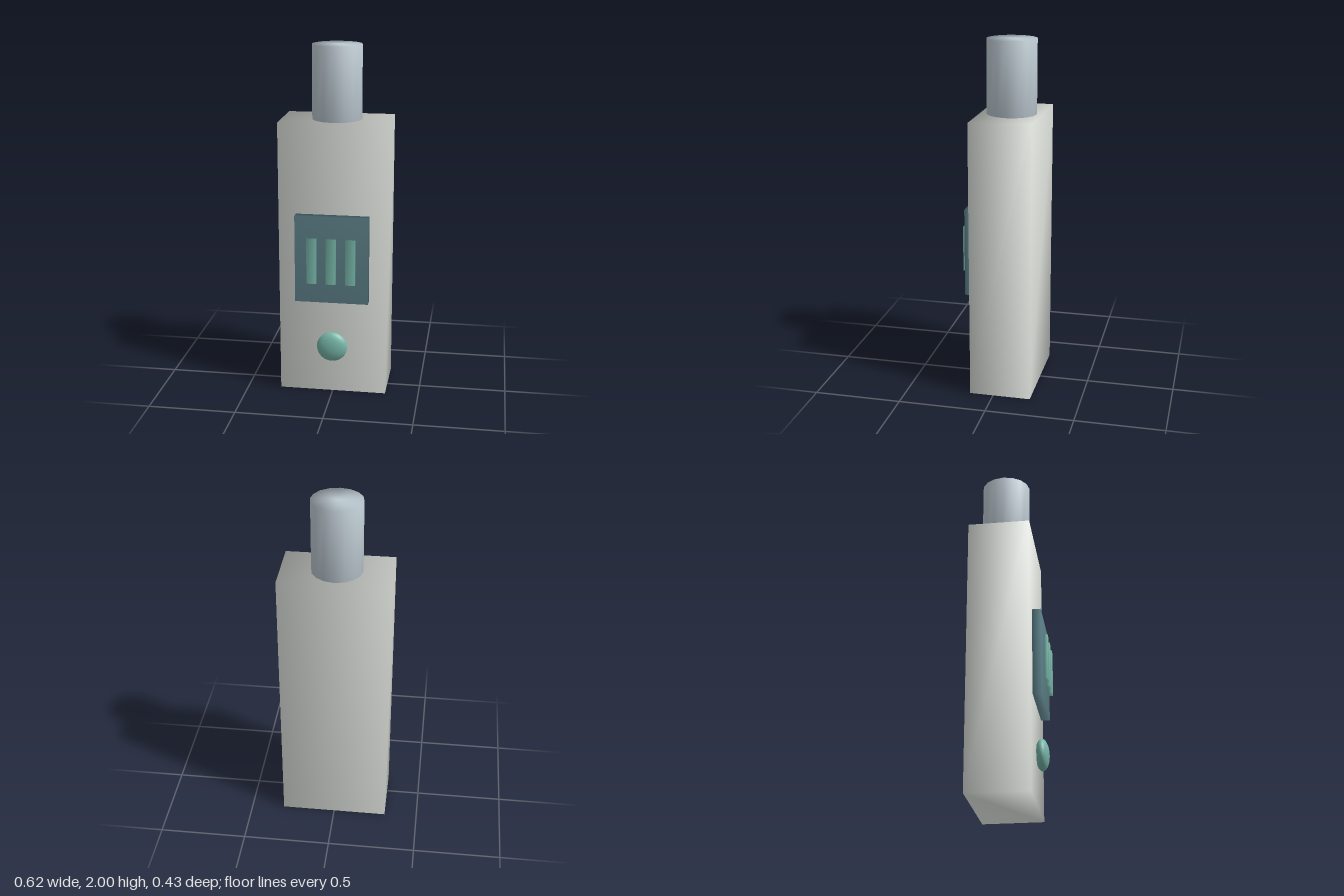
import * as THREE from 'three';
import { mergeVertices } from 'three/addons/utils/BufferGeometryUtils.js';

const paint = (color) => new THREE.MeshStandardMaterial({ color });

// Weld corners so the shading runs smoothly across every edge
function soften(geometry) {
  geometry.deleteAttribute('uv');
  geometry.deleteAttribute('normal');
  const welded = mergeVertices(geometry);
  welded.computeVertexNormals();
  return welded;
}

export function createModel() {
  const model = new THREE.Group();
  model.name = 'handheldDevice';

  const add = (name, geometry, material, x, y, z) => {
    const mesh = new THREE.Mesh(soften(geometry), material);
    mesh.name = name;
    mesh.position.set(x, y, z);
    model.add(mesh);
    return mesh;
  };

  const shell = paint(0xe0e4de);
  const metal = paint(0xbfccd4);
  const dark = paint(0x5c8088);
  const mint = paint(0x78b8aa);

  // Tall slab body, standing on the ground
  add('body', new THREE.BoxGeometry(0.616, 1.585, 0.35), shell, 0, 0.7925, -0.04);

  // Round stub on top
  add('topStub', new THREE.CylinderGeometry(0.142, 0.142, 0.415, 16), metal, 0, 1.7925, -0.04);

  // Screen panel with three raised bars
  add('screenPanel', new THREE.BoxGeometry(0.417, 0.505, 0.05), dark, 0, 0.8175, 0.16);
  for (const x of [-0.11, 0, 0.11]) {
    add('screenBar', new THREE.BoxGeometry(0.055, 0.262, 0.021), mint, x, 0.815, 0.2025);
  }

  // Flattened round button
  const button = add('button', new THREE.SphereGeometry(0.088, 24, 16), mint, 0, 0.288, 0.162);
  button.scale.z = 0.44;

  return model;
}
